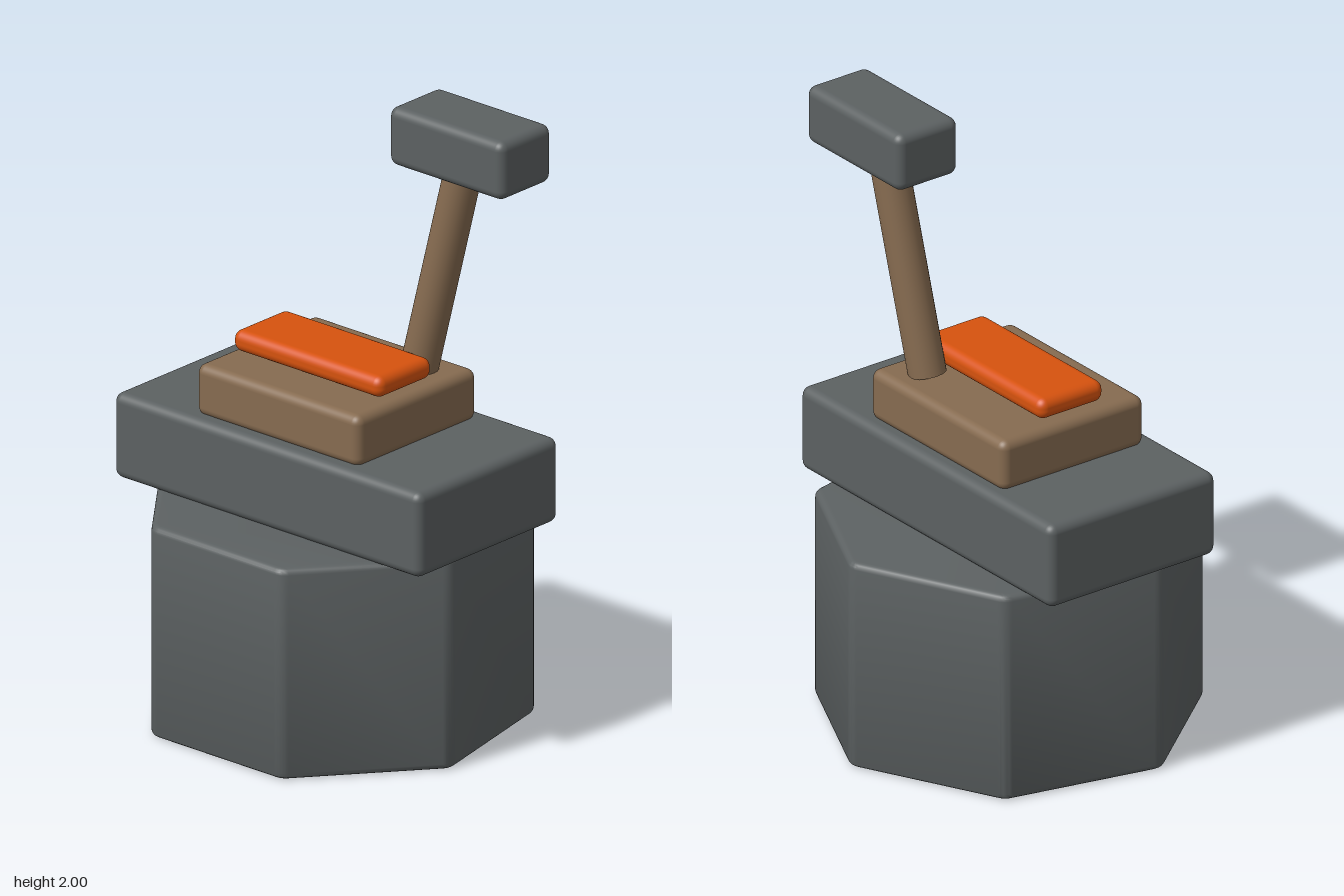
import * as THREE from 'three';
import { RoundedBoxGeometry } from 'three/addons/geometries/RoundedBoxGeometry.js';
import { toCreasedNormals } from 'three/addons/utils/BufferGeometryUtils.js';

function material(name, color) {
  const m = new THREE.MeshStandardMaterial({ color });
  m.name = name;
  return m;
}

// Heptagon outline with softened corners, one corner towards the back
function heptagonShape(radius, soft) {
  const corners = [];
  for (let i = 0; i < 7; i++) {
    const a = Math.PI / 2 + (i * 2 * Math.PI) / 7;
    corners.push(new THREE.Vector2(radius * Math.cos(a), radius * Math.sin(a)));
  }
  const shape = new THREE.Shape();
  corners.forEach((c, i) => {
    const prev = corners[(i + 6) % 7], next = corners[(i + 1) % 7];
    const a = c.clone().lerp(prev, soft), b = c.clone().lerp(next, soft);
    if (i === 0) shape.moveTo(a.x, a.y);
    else shape.lineTo(a.x, a.y);
    shape.quadraticCurveTo(c.x, c.y, b.x, b.y);
  });
  shape.closePath();
  return shape;
}

export function createModel() {
  const model = new THREE.Group();
  const grey = material('slate grey', 0x5c6162);
  const brown = material('wood brown', 0x866b50);
  const orange = material('bright orange', 0xd6520e);

  const add = (name, geometry, mat) => {
    const mesh = new THREE.Mesh(geometry, mat);
    mesh.name = name;
    model.add(mesh);
    return mesh;
  };

  // Rounded block given by its extents on each axis
  const block = (name, mat, [x0, x1], [y0, y1], [z0, z1], r) => {
    const mesh = add(name, new RoundedBoxGeometry(x1 - x0, y1 - y0, z1 - z0, 4, r), mat);
    mesh.position.set((x0 + x1) / 2, (y0 + y1) / 2, (z0 + z1) / 2);
  };

  // Seven-sided base with softened edges
  const bevel = 0.02, height = 0.695;
  const base = new THREE.ExtrudeGeometry(heptagonShape(0.612, 0.05), {
    depth: height - 2 * bevel, bevelEnabled: true, bevelThickness: bevel,
    bevelSize: bevel, bevelOffset: -bevel, bevelSegments: 4, curveSegments: 5,
  });
  base.rotateX(-Math.PI / 2);
  base.translate(0, bevel, 0.028);
  add('base', toCreasedNormals(base, 0.6), grey);

  // Stacked slabs
  block('anvilTop', grey, [-0.63, 0.63], [0.69, 0.97], [-0.295, 0.35], 0.03);
  block('woodBlock', brown, [-0.335, 0.335], [0.96, 1.13], [-0.25, 0.3], 0.03);
  block('hotIngot', orange, [-0.305, 0.305], [1.14, 1.21], [-0.08, 0.168], 0.03);

  // Leaning hammer
  const foot = new THREE.Vector3(0.2, 1.13, -0.13);
  const top = new THREE.Vector3(0.36, 1.85, -0.166);
  const axis = top.clone().sub(foot);
  const handle = add('hammerHandle', new THREE.CylinderGeometry(0.06, 0.06, axis.length(), 24), brown);
  handle.position.copy(foot).add(top).multiplyScalar(0.5);
  handle.quaternion.setFromUnitVectors(new THREE.Vector3(0, 1, 0), axis.normalize());
  block('hammerHead', grey, [0.138, 0.608], [1.808, 2], [-0.288, -0.053], 0.03);

  return model;
}
